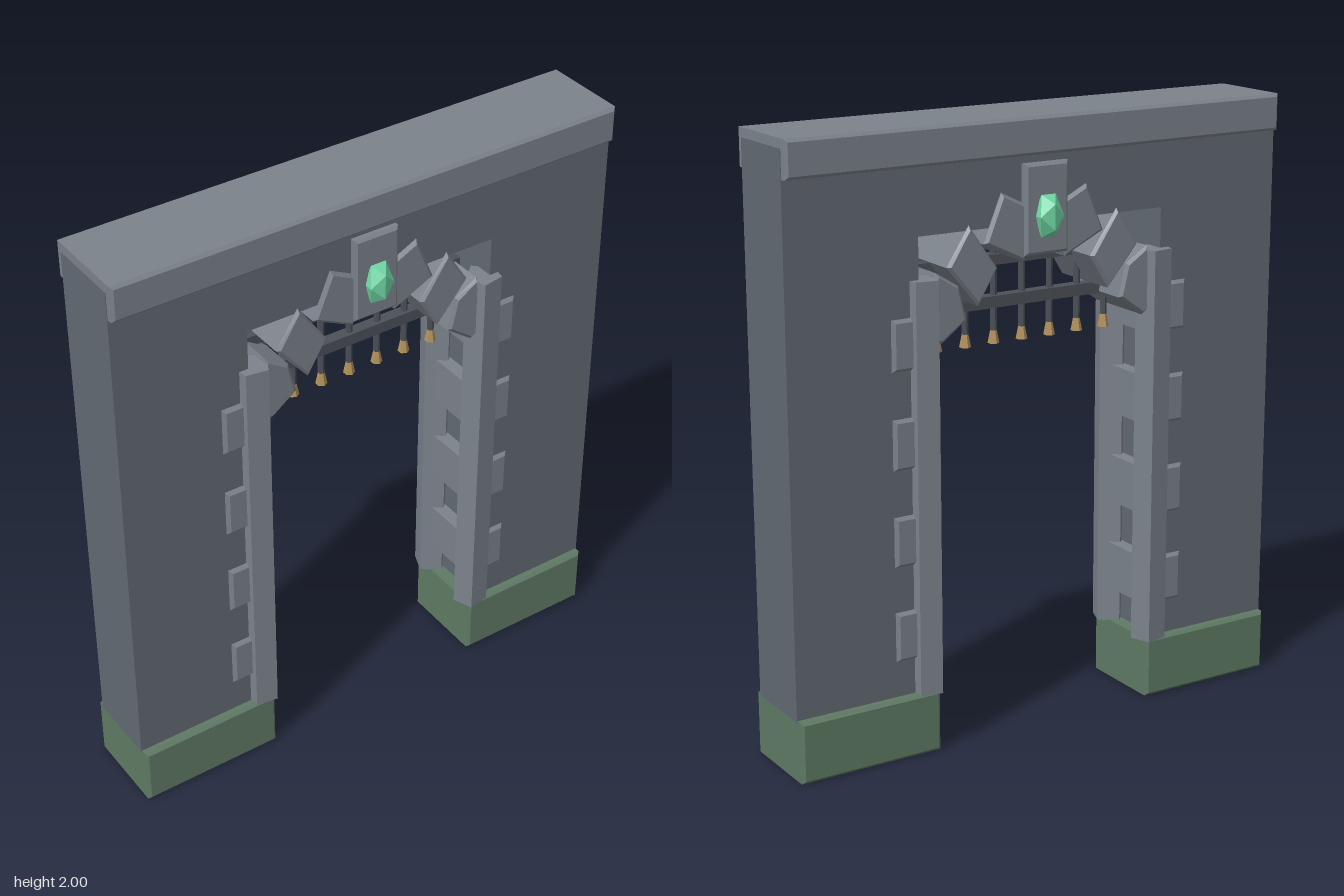
import * as THREE from 'three';

const mat = (color) => new THREE.MeshStandardMaterial({ color, flatShading: true });

export function createModel() {
  const gate = new THREE.Group();
  gate.name = 'gate';
  const wallMat = mat(0x626972), trimMat = mat(0x7b828b), mossMat = mat(0x5f7a64);
  const ironMat = mat(0x4c5058), brassMat = mat(0xb0905a), gemMat = mat(0x6fd6a4);

  const add = (name, geometry, material, x = 0, y = 0, z = 0) => {
    const mesh = new THREE.Mesh(geometry, material);
    mesh.name = name;
    mesh.position.set(x, y, z);
    gate.add(mesh);
    return mesh;
  };

  // Outline in x/y, extruded evenly about z = 0 with chamfered edges
  const slab = (points, halfDepth, bevel = 0) => {
    const shape = new THREE.Shape(points.map(([x, y]) => new THREE.Vector2(x, y)));
    const geometry = new THREE.ExtrudeGeometry(shape, {
      depth: 2 * (halfDepth - bevel), bevelEnabled: bevel > 0, bevelThickness: bevel,
      bevelSize: bevel, bevelOffset: -bevel, bevelSegments: 1,
    });
    return geometry.translate(0, 0, bevel - halfDepth);
  };
  const rect = (x0, x1, y0, y1) => [[x0, y0], [x1, y0], [x1, y1], [x0, y1]];
  const mirror = (points, side) => points.map(([x, y]) => [x * side, y]);

  // Wall with its square opening, and the cap along the top
  add('wall', slab([[-0.897, 0.2], [-0.447, 0.2], [-0.447, 1.667], [0.447, 1.667],
    [0.447, 0.2], [0.897, 0.2], [0.897, 1.97], [-0.897, 1.97]], 0.127), wallMat);
  add('cap', slab(rect(-0.895, 0.895, 1.88, 2), 0.155, 0.01), trimMat);

  // Arch stones on one side, from the keystone outward
  const stones = [
    [[0.156, 1.772], [0.01, 1.70], [0.077, 1.55], [0.22, 1.619]],
    [[0.272, 1.683], [0.172, 1.54], [0.241, 1.429], [0.352, 1.561]],
    [[0.39, 1.55], [0.31, 1.5], [0.283, 1.392], [0.375, 1.325], [0.43, 1.36]],
  ];
  // Five-sided jamb post, as x and z
  const postOutline = [[0.373, 0.1], [0.43, 0.05], [0.484, 0.1], [0.473, 0.155], [0.4, 0.167]];

  for (const side of [-1, 1]) {
    add('base', slab(mirror(rect(0.4, 0.895, 0, 0.205), side), 0.155, 0.01), mossMat);

    for (let i = 0; i < 4; i++) {
      const y = 0.405 + i * 0.312;
      add('jambBlock', slab(mirror(rect(0.4, 0.545, y - 0.081, y + 0.081), side), 0.14, 0.01), trimMat);
    }

    for (const face of [-1, 1]) {
      const shape = new THREE.Shape(
        postOutline.map(([x, z]) => new THREE.Vector2(x * side, -z * face)));
      const post = new THREE.ExtrudeGeometry(shape, { depth: 1.335, bevelEnabled: false });
      post.rotateX(-Math.PI / 2);
      add('jambPost', post, trimMat, 0, 0.2, 0);
    }

    for (const stone of stones) add('archStone', slab(mirror(stone, side), 0.14, 0.01), trimMat);

    // Faceted gem on the front and back of the keystone
    const gem = add('gem', new THREE.IcosahedronGeometry(1, 0), gemMat, 0, 1.69, 0.155 * side);
    gem.scale.set(0.05, 0.078, 0.045);
  }
  add('keystone', slab(rect(-0.08, 0.08, 1.568, 1.855), 0.15, 0.01), trimMat);

  // Raised grille: two rails, seven bars and flared brass tips
  add('upperRail', new THREE.BoxGeometry(0.82, 0.034, 0.04), ironMat, 0, 1.54, 0);
  add('lowerRail', new THREE.BoxGeometry(0.82, 0.038, 0.04), ironMat, 0, 1.405, 0);
  for (let i = -3; i <= 3; i++) {
    const x = i * 0.105;
    add('grilleBar', new THREE.CylinderGeometry(0.011, 0.011, 0.27, 6), ironMat, x, 1.445, 0);
    add('barTip', new THREE.CylinderGeometry(0.007, 0.019, 0.06, 6), brassMat, x, 1.298, 0);
  }
  return gate;
}
